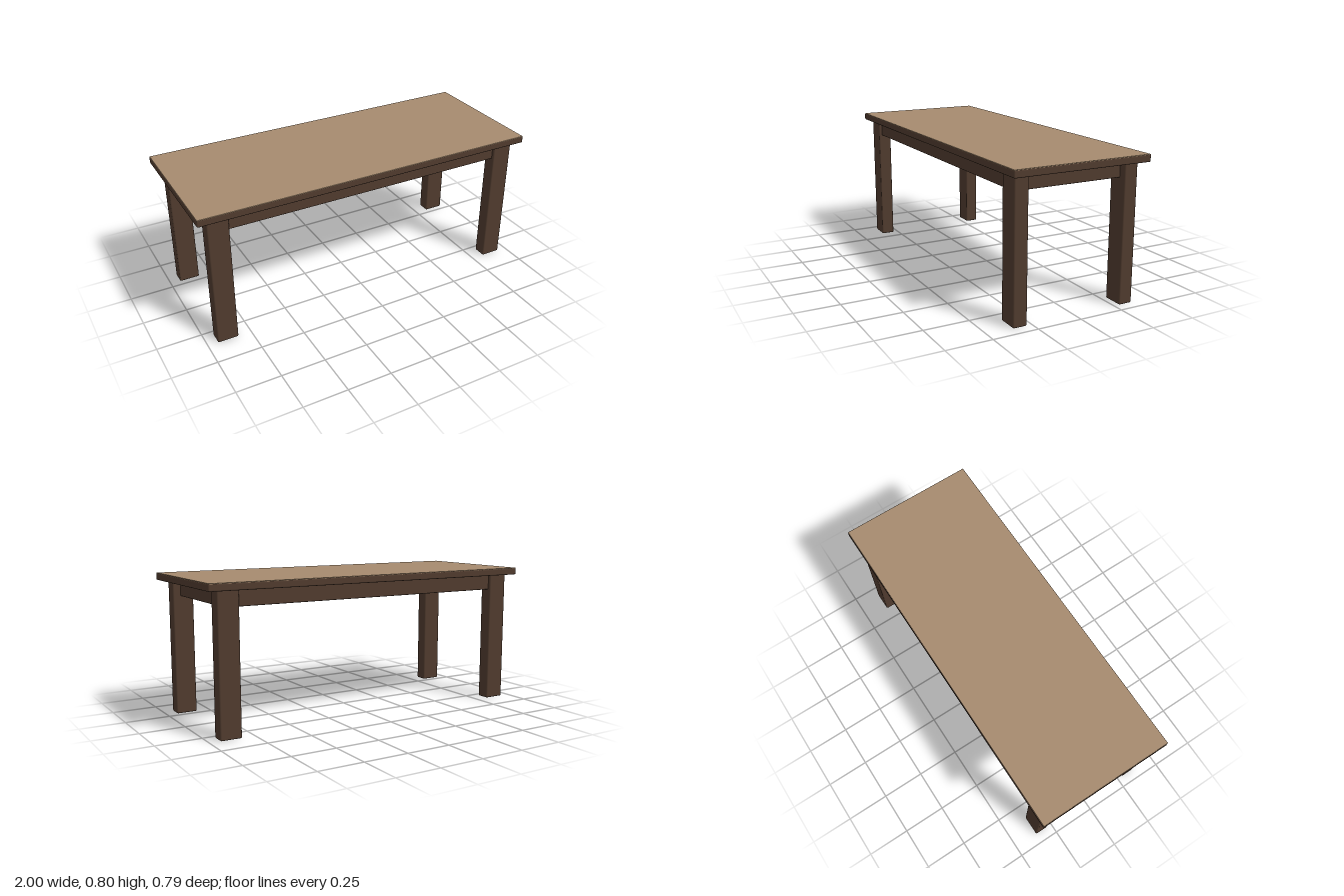
import * as THREE from 'three';
import { RoundedBoxGeometry } from 'three/addons/geometries/RoundedBoxGeometry.js';

export function createModel() {
  const table = new THREE.Group();
  table.name = 'table';

  const darkWood = new THREE.MeshStandardMaterial({ color: 0x503b2e });
  darkWood.name = 'dark wood';
  const lightWood = new THREE.MeshStandardMaterial({ color: 0xa68b6f });
  lightWood.name = 'light wood';

  // Adds a softly rounded block between two corners
  function block(name, [x0, x1], [y0, y1], [z0, z1], radius = 0.004, material = darkWood) {
    const geometry = new RoundedBoxGeometry(x1 - x0, y1 - y0, z1 - z0, 2, radius);
    const mesh = new THREE.Mesh(geometry, material);
    mesh.name = name;
    mesh.position.set((x0 + x1) / 2, (y0 + y1) / 2, (z0 + z1) / 2);
    table.add(mesh);
  }

  // Mirrors a range to the negative side when needed
  const side = (s, a, b) => (s > 0 ? [a, b] : [-b, -a]);

  // Tabletop slab with a pale thin surface
  block('tabletop', [-1, 1], [0.762, 0.801], [-0.393, 0.393], 0.007);
  block('tabletopSurface', [-0.998, 0.998], [0.797, 0.803], [-0.391, 0.391], 0.002, lightWood);

  const railHeight = [0.675, 0.765];
  for (const s of [1, -1]) {
    // Long apron, end apron and inner cross rail
    block('longApron', [-0.85, 0.85], railHeight, side(s, 0.285, 0.34));
    block('endApron', side(s, 0.84, 0.9), railHeight, [-0.3, 0.3]);
    block('crossRail', side(s, 0.6, 0.655), railHeight, [-0.3, 0.3]);

    // Legs
    for (const t of [1, -1]) {
      block('leg', side(s, 0.825, 0.943), [0, 0.766], side(t, 0.28, 0.358), 0.008);
    }
  }
  return table;
}
